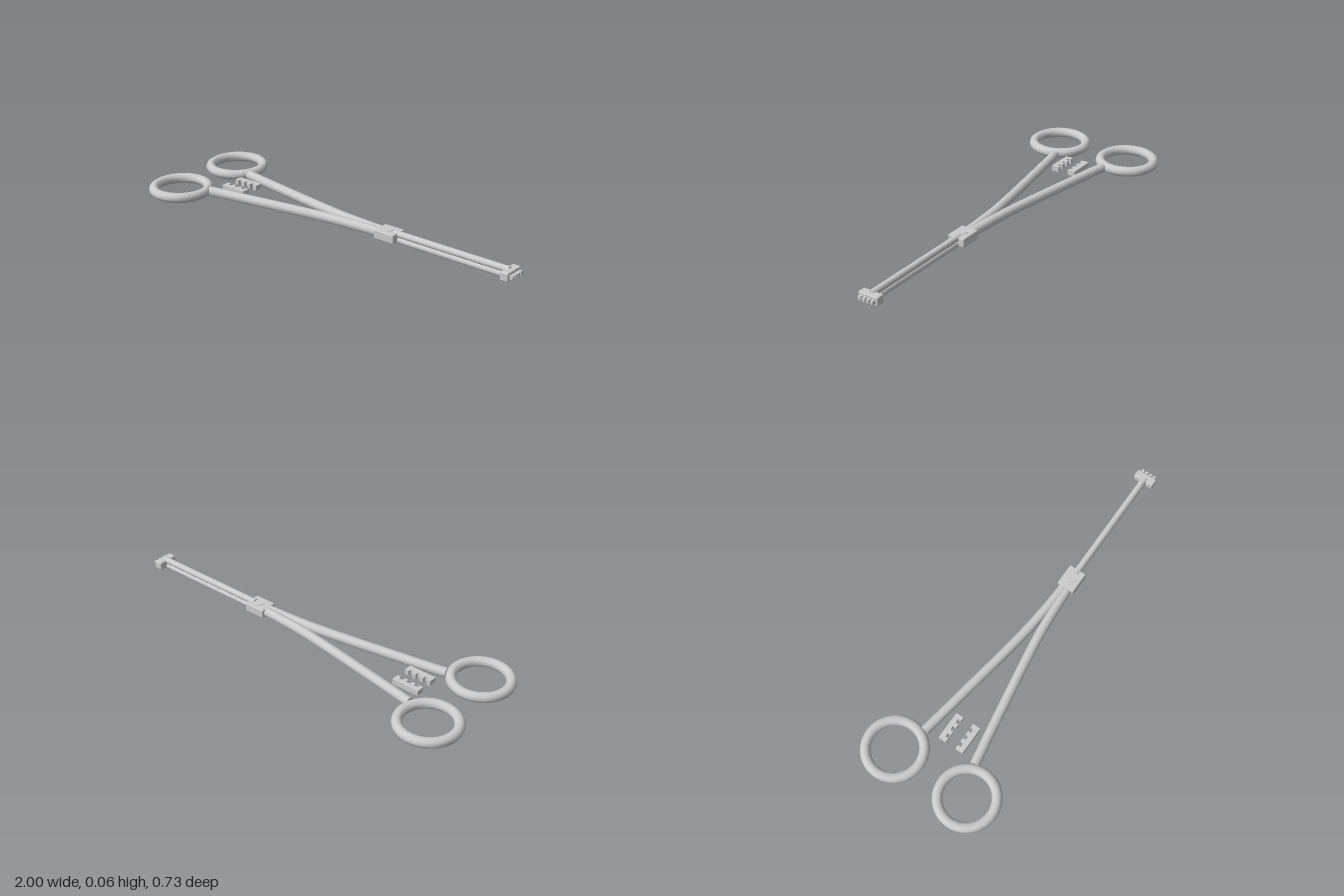
import * as THREE from 'three';
import { RoundedBoxGeometry } from 'three/addons/geometries/RoundedBoxGeometry.js';

const MID = 0.03; // height of the centre plane

export function createModel() {
  const model = new THREE.Group();
  model.name = 'ringHandledClamp';
  const steel = new THREE.MeshStandardMaterial({ color: 0xcccccc });

  const add = (name, geometry, x, y, z, parent = model) => {
    const mesh = new THREE.Mesh(geometry, steel);
    mesh.name = name;
    mesh.position.set(x, y, z);
    parent.add(mesh);
    return mesh;
  };

  // Two handles: finger ring, curved shank and toothed ratchet
  for (const [side, s] of [['left', 1], ['right', -1]]) {
    const handle = new THREE.Group();
    handle.name = side + 'Handle';
    model.add(handle);

    const ring = add('fingerRing', new THREE.TorusGeometry(0.136, 0.025, 10, 48), -0.84, MID, s * 0.203, handle);
    ring.rotation.x = Math.PI / 2;

    const path = new THREE.CatmullRomCurve3(
      [[-0.695, 0.142], [-0.55, 0.116], [-0.38, 0.088], [-0.2, 0.058], [0, 0.029], [0.15, 0.016], [0.3, 0.008]]
        .map(([x, z]) => new THREE.Vector3(x, 0, s * z)));
    add('shank', new THREE.TubeGeometry(path, 40, 0.024, 10), 0, MID, 0, handle);

    // Flat cap closing the ring end of the shank
    const start = path.getPoint(0);
    const cap = add('shankEnd', new THREE.CircleGeometry(0.024, 10), start.x, MID, start.z, handle);
    cap.quaternion.setFromUnitVectors(new THREE.Vector3(0, 0, 1), path.getTangent(0).negate());

    // Ratchet bar with teeth facing the other handle
    const ratchet = new THREE.Group();
    ratchet.name = 'ratchet';
    ratchet.position.set(-0.615, MID, s * 0.055);
    handle.add(ratchet);
    add('ratchetBar', new THREE.BoxGeometry(0.14, 0.026, 0.024), 0, 0, 0, ratchet);
    for (let i = 0; i < 4; i++) {
      add('ratchetTooth', new THREE.BoxGeometry(0.02, 0.026, 0.018), -0.06 + i * 0.04, 0, s * -0.019, ratchet);
    }
  }

  // Box joint with a pivot screw through it
  add('boxJoint', new RoundedBoxGeometry(0.112, 0.046, 0.09, 2, 0.006), 0.31, MID, 0);
  add('pivotScrew', new THREE.CylinderGeometry(0.022, 0.022, 0.051, 24), 0.31, MID, 0);

  // Jaw shafts, one above the other
  for (const [name, s] of [['upperJawShaft', 1], ['lowerJawShaft', -1]]) {
    const shaft = add(name, new THREE.CylinderGeometry(0.016, 0.016, 0.62, 16), 0.65, MID + s * 0.014, 0);
    shaft.rotation.z = Math.PI / 2;
  }

  // Cross-wise jaw tip with a row of gripping teeth
  add('jawTip', new RoundedBoxGeometry(0.042, 0.044, 0.106, 2, 0.007), 0.962, MID, 0);
  for (let i = 0; i < 4; i++) {
    add('jawTooth', new THREE.BoxGeometry(0.024, 0.018, 0.015), 0.988, MID, -0.033 + i * 0.022);
  }

  return model;
}
